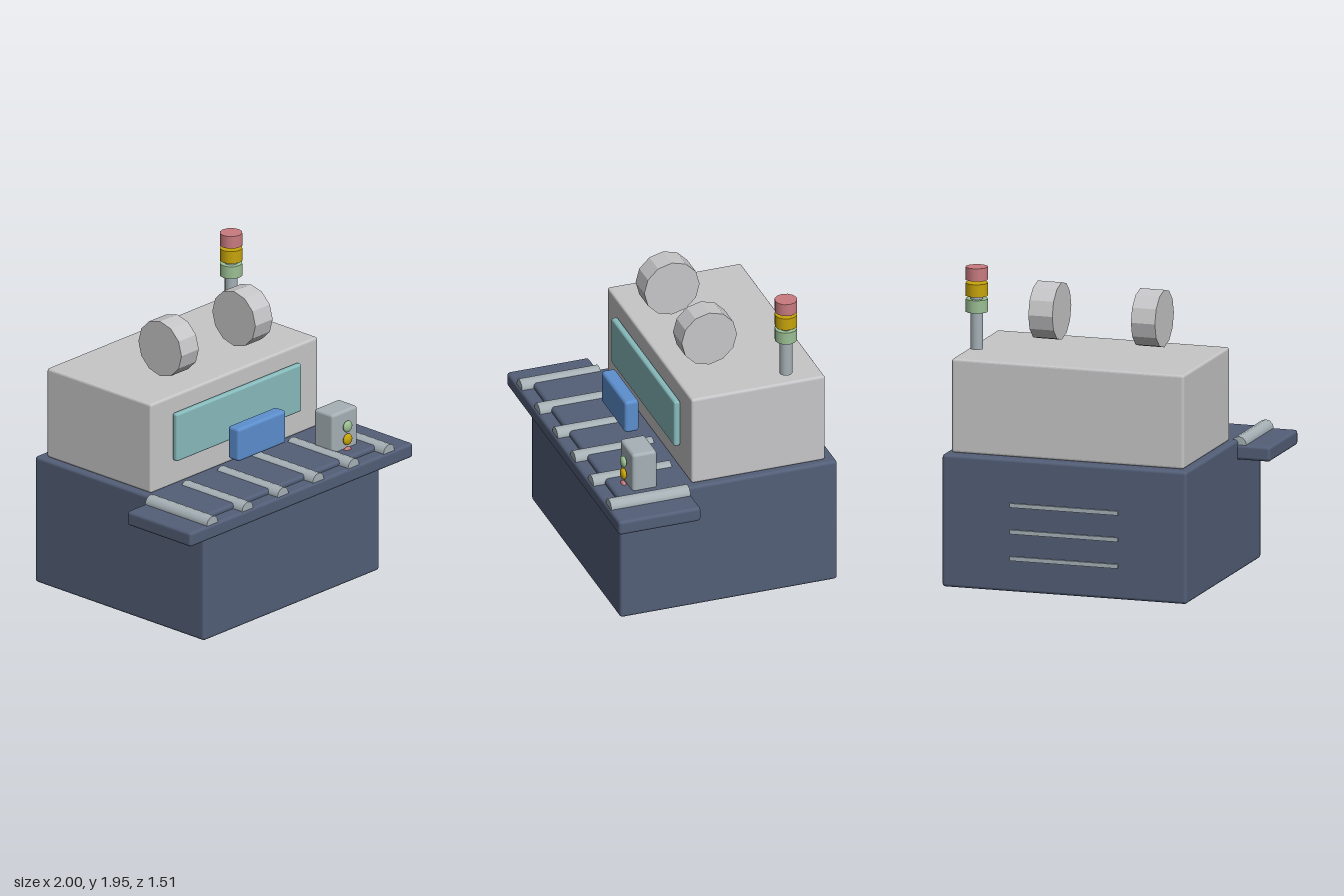
import * as THREE from 'three';
import { RoundedBoxGeometry } from 'three/addons/geometries/RoundedBoxGeometry.js';

const mat = (name, color, flatShading = false) => {
  const m = new THREE.MeshStandardMaterial({ color, flatShading });
  m.name = name;
  return m;
};

export function createModel() {
  const group = new THREE.Group();
  const navy = mat('navy', 0x535f78);
  const lightGrey = mat('light grey', 0xc6c6c8, true);
  const steel = mat('steel', 0xa6b1b6);
  const teal = mat('teal', 0x88bbbd);
  const blue = mat('blue', 0x5c8fcf);
  const green = mat('green', 0x9cc094);
  const yellow = mat('yellow', 0xc8a50c);
  const red = mat('red', 0xc97b80);

  const add = (name, geometry, material, x, y, z) => {
    const mesh = new THREE.Mesh(geometry, material);
    mesh.name = name;
    mesh.position.set(x, y, z);
    group.add(mesh);
    return mesh;
  };
  // Rounded box given by its limits on each axis
  const box = (name, material, [x0, x1], [y0, y1], [z0, z1], r) =>
    add(name, new RoundedBoxGeometry(x1 - x0, y1 - y0, z1 - z0, 2, r), material,
      (x0 + x1) / 2, (y0 + y1) / 2, (z0 + z1) / 2);

  // Cabinet, conveyor table and upper housing
  box('base', navy, [-0.79, 0.79], [0, 0.83], [-0.745, 0.67], 0.02);
  box('table', navy, [-1, 1], [0.705, 0.80], [0.22, 0.755], 0.02);
  box('housing', lightGrey, [-0.75, 0.75], [0.83, 1.417], [-0.68, 0.19], 0.015);
  box('window', teal, [-0.563, 0.56], [0.995, 1.31], [0.193, 0.235], 0.015);
  box('workpiece', blue, [-0.217, 0.213], [0.943, 1.16], [0.335, 0.427], 0.02);

  // Conveyor rollers
  for (let i = 0; i < 6; i++) {
    const roller = add('roller', new THREE.CylinderGeometry(0.05, 0.05, 0.515, 12), steel,
      -0.795 + i * 0.317, 0.80, 0.488);
    roller.rotation.x = Math.PI / 2;
  }

  // Control box with three buttons
  box('controlBox', steel, [0.485, 0.71], [0.79, 1.08], [0.40, 0.56], 0.02);
  [green, yellow, red].forEach((m, i) => {
    const button = add('button', new THREE.SphereGeometry(0.037, 14, 10), m,
      0.597, 0.98 - i * 0.085, 0.58);
    button.scale.z = 0.5;
  });

  // Drums above the housing
  for (const x of [-0.333, 0.33]) {
    const drum = add('drum', new THREE.CylinderGeometry(0.18, 0.18, 0.155, 12), lightGrey,
      x, 1.62, -0.05);
    drum.rotation.z = Math.PI / 2;
  }

  // Signal tower
  add('signalPole', new THREE.CylinderGeometry(0.04, 0.04, 0.36, 12), steel, 0.663, 1.62, -0.455);
  [green, yellow, red].forEach((m, i) =>
    add('signalLamp', new THREE.CylinderGeometry(0.07, 0.07, 0.08, 12), m,
      0.663, 1.714 + i * 0.1, -0.455));

  // Rear vents
  for (const y of [0.21, 0.377, 0.543]) {
    add('vent', new THREE.BoxGeometry(0.7, 0.026, 0.02), steel, 0, y, -0.747);
  }
  return group;
}
